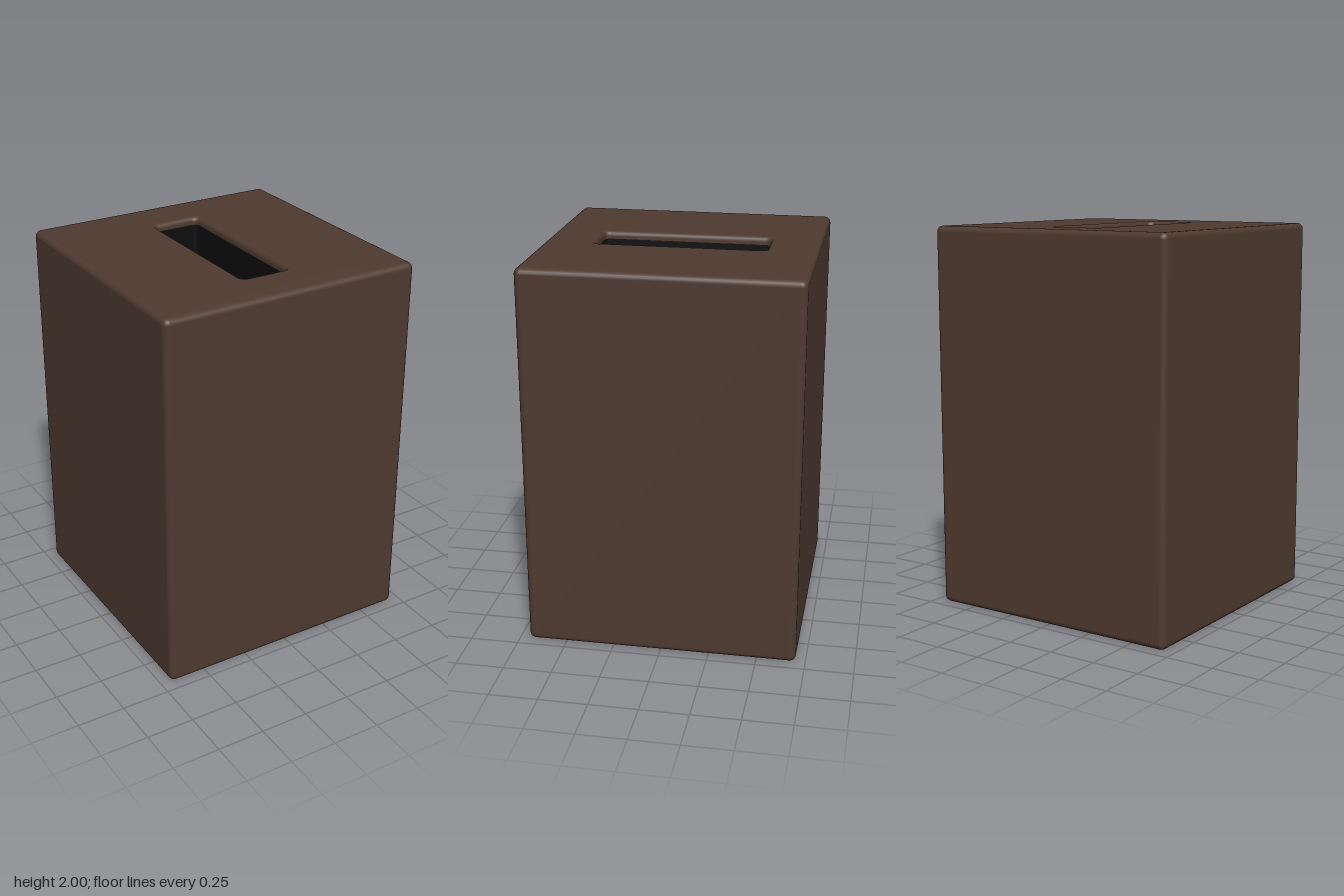
import * as THREE from 'three';

const ARC = 5; // steps per rounded corner

// Rounded rectangle at height y, counter-clockwise seen from above
function ring(hx, hz, r, y) {
  const pts = [];
  const corners = [[1, -1], [-1, -1], [-1, 1], [1, 1]];
  corners.forEach(([sx, sz], q) => {
    for (let k = 0; k <= ARC; k++) {
      const a = (q + k / ARC) * Math.PI / 2;
      pts.push([sx * (hx - r) + r * Math.cos(a), y, sz * (hz - r) - r * Math.sin(a)]);
    }
  });
  return pts;
}

// Joins successive rings into one smooth skin
function loft(rings) {
  const n = rings[0].length;
  const index = [];
  for (let i = 0; i < rings.length - 1; i++) {
    for (let j = 0; j < n; j++) {
      const k = (j + 1) % n;
      const a = i * n + j, b = i * n + k, c = a + n, d = b + n;
      index.push(a, b, d, a, d, c);
    }
  }
  const geo = new THREE.BufferGeometry();
  geo.setAttribute('position', new THREE.Float32BufferAttribute(rings.flat(2), 3));
  geo.setIndex(index);
  geo.computeVertexNormals();
  return geo;
}

export function createModel() {
  const group = new THREE.Group();
  const half = 0.7, height = 2, fillet = 0.03;
  const slotX = 0.13, slotZ = 0.44, slotR = 0.03, slotFloor = 1.5;
  const add = (name, rings, color) => {
    const mesh = new THREE.Mesh(loft(rings), new THREE.MeshStandardMaterial({ color }));
    mesh.name = name;
    group.add(mesh);
  };

  // Block: underside, rounded edges, sides, top and the rounded slot rim
  const block = [ring(0, 0, 0, 0)];
  const outer = (a, y) => {
    const inset = fillet * (1 - Math.cos(a));
    return ring(half - inset, half - inset, fillet - inset + 0.002, y);
  };
  for (let k = ARC; k >= 0; k--) {
    const a = k / ARC * Math.PI / 2;
    block.push(outer(a, fillet * (1 - Math.sin(a))));
  }
  for (let k = 0; k <= ARC; k++) {
    const a = k / ARC * Math.PI / 2;
    block.push(outer(a, height - fillet * (1 - Math.sin(a))));
  }
  for (let k = 0; k <= ARC; k++) {
    const a = k / ARC * Math.PI / 2;
    const grow = 0.025 * (1 - Math.sin(a));
    block.push(ring(slotX + grow, slotZ + grow, slotR + grow, height - 0.025 * (1 - Math.cos(a))));
  }
  block.push(ring(slotX, slotZ, slotR, height - 0.04));
  add('block', block, 0x4e3a30);

  // Dark lining of the slot: walls, then a flat floor with its own edge
  add('slotWalls', [
    ring(slotX, slotZ, slotR, height - 0.04),
    ring(slotX, slotZ, slotR, slotFloor),
  ], 0x0d0d0d);
  add('slotFloor', [
    ring(slotX, slotZ, slotR, slotFloor),
    ring(0, 0, 0, slotFloor),
  ], 0x0d0d0d);

  return group;
}
